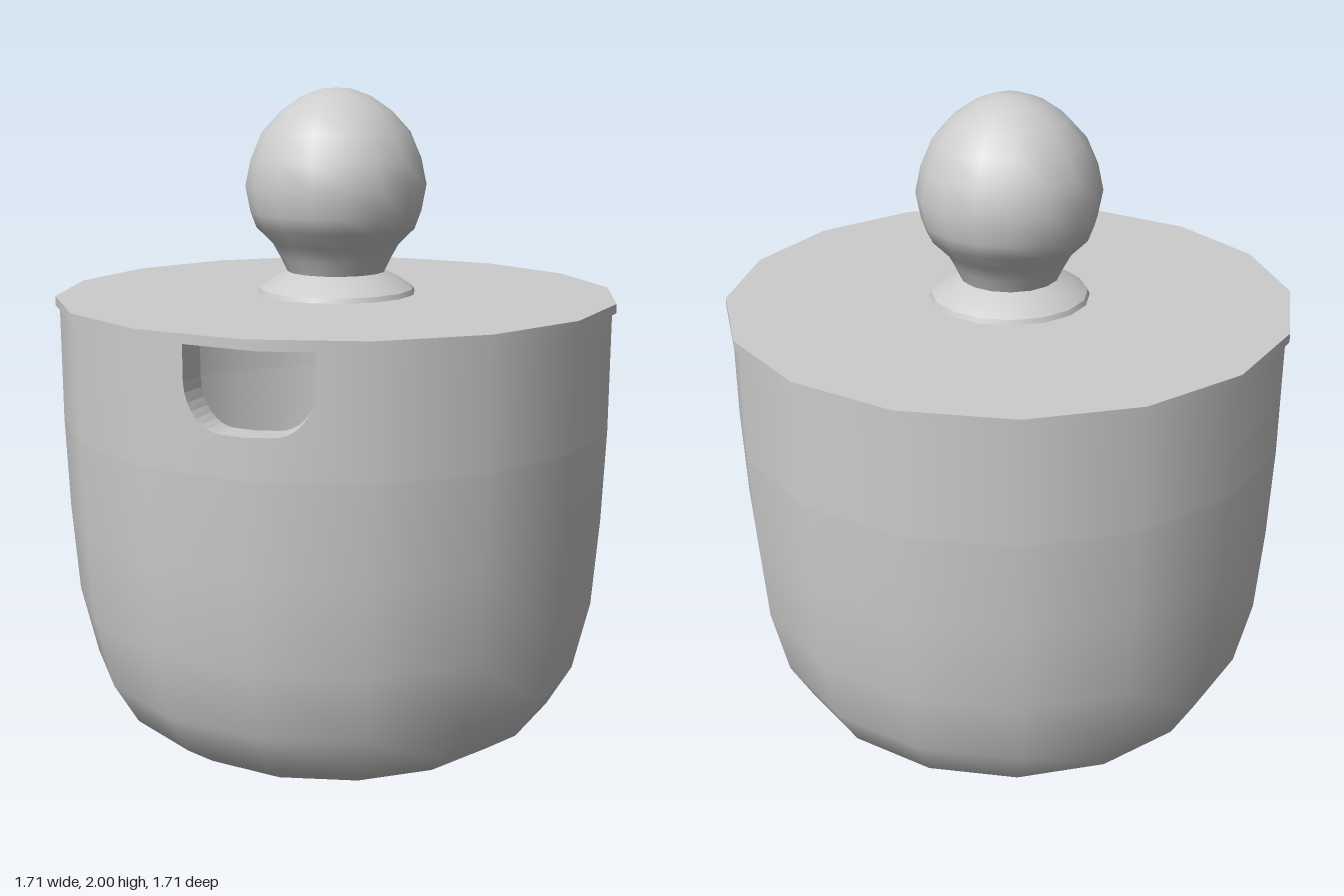
import * as THREE from 'three';

const SIDES = 16, STEP = (Math.PI * 2) / SIDES;
const OUT = 0.845, INN = 0.76, BAND = 1.0, RIM = 1.355;

const ceramic = new THREE.MeshStandardMaterial({ color: 0xcccccc });
ceramic.name = 'grey ceramic';

// Repeating a point in a profile keeps that edge sharp.
function lathe(name, profile, start = 0, count = SIDES) {
  const points = profile.map(([r, y]) => new THREE.Vector2(r, y));
  const mesh = new THREE.Mesh(
    new THREE.LatheGeometry(points, count, start * STEP, count * STEP), ceramic);
  mesh.name = name;
  return mesh;
}

// One flat side of the upper wall with half of the spoon notch cut out
function notchedSide(name, side) {
  const edge = OUT * Math.sin(STEP), slope = OUT * (1 - Math.cos(STEP)) / edge;
  const s = new THREE.Shape();
  s.moveTo(0, BAND);
  s.lineTo(side * edge, BAND);
  s.lineTo(side * edge, RIM);
  s.lineTo(side * 0.185, RIM);
  s.lineTo(side * 0.185, 1.25);
  s.bezierCurveTo(side * 0.18, 1.17, side * 0.13, 1.12, side * 0.07, 1.12);
  s.lineTo(0, 1.12);
  s.closePath();
  const geo = new THREE.ExtrudeGeometry(s, { depth: 1, bevelEnabled: false, curveSegments: 8 });
  const pos = geo.attributes.position, depth = [];
  for (let i = 0; i < pos.count; i++) {
    const u = pos.getX(i), d = pos.getZ(i);
    const k = (INN + (OUT - INN) * d) / OUT;
    depth.push(d);
    pos.setX(i, u * k);
    pos.setZ(i, (OUT - slope * Math.abs(u)) * k);
  }
  geo.computeVertexNormals();
  // Inner and outer faces shade smoothly around the bowl
  const caps = geo.groups[0];
  for (let i = caps.start; i < caps.start + caps.count; i++) {
    const sign = depth[i] > 0.5 ? 1 : -1;
    const x = pos.getX(i), z = pos.getZ(i), len = Math.hypot(x, z);
    geo.attributes.normal.setXYZ(i, sign * x / len, 0, sign * z / len);
  }
  geo.clearGroups();
  const mesh = new THREE.Mesh(geo, ceramic);
  mesh.name = name;
  return mesh;
}

export function createModel() {
  const model = new THREE.Group();
  model.name = 'sugarBowl';

  // Bowl: rounded lower body, upper wall, and the notched front
  const bowl = new THREE.Group();
  bowl.name = 'bowl';
  bowl.add(lathe('bowlBody', [
    [0, 0], [0.36, 0.002], [0.46, 0.01], [0.59, 0.035], [0.69, 0.105], [0.765, 0.235],
    [0.815, 0.45], [0.835, 0.72], [OUT, BAND], [OUT, BAND],
    [INN, BAND], [INN, BAND], [0.75, 0.72], [0.73, 0.45], [0.68, 0.26], [0.6, 0.15],
    [0.45, 0.09], [0, 0.08],
  ]));
  bowl.add(lathe('upperWall', [
    [OUT, BAND], [OUT, RIM], [OUT, RIM], [INN, RIM], [INN, RIM], [INN, BAND],
  ], 1, SIDES - 2));
  bowl.add(notchedSide('notchLeft', 1), notchedSide('notchRight', -1));
  model.add(bowl);

  // Lid: flat plate with a locating step beneath, and a ball knob
  const lid = new THREE.Group();
  lid.name = 'lid';
  lid.add(lathe('lidPlate', [
    [0, 1.33], [0.74, 1.33], [0.74, 1.33], [0.74, RIM], [0.74, RIM],
    [0.857, RIM], [0.857, RIM], [0.857, 1.383], [0.857, 1.383], [0, 1.383],
  ]));
  lid.add(lathe('knobCollar', [
    [0.245, 1.38], [0.238, 1.398], [0.238, 1.398], [0.2, 1.425], [0.15, 1.45],
  ]));
  lid.add(lathe('knob', [
    [0.15, 1.448], [0.17, 1.49], [0.195, 1.535], [0.245, 1.585], [0.262, 1.63],
    [0.277, 1.71], [0.26, 1.79], [0.225, 1.87], [0.17, 1.93], [0.105, 1.975],
    [0.045, 1.997], [0, 2],
  ]));
  model.add(lid);
  return model;
}
